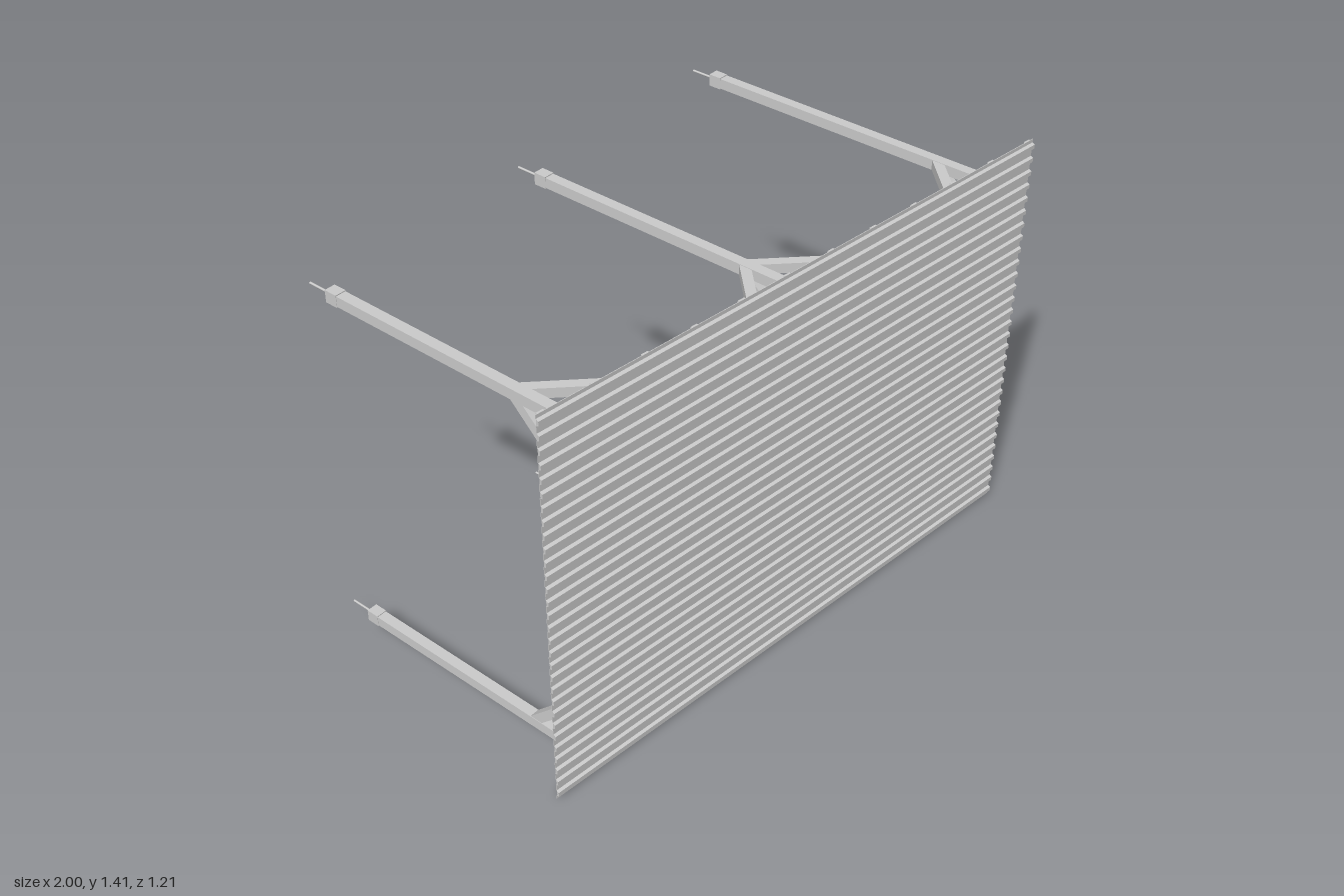
import * as THREE from 'three';

const SLOPE = 0.105;                       // the panel swings forward towards +x
const HEIGHT = 1.41;
const LENGTH = 2 * Math.hypot(1, SLOPE);
const BAR = 0.035;
const LEVELS = [0.105, 1.32];              // heights of the two rows of arms
const faceZ = (x) => 0.5 + SLOPE * x;      // front face of the panel

const material = new THREE.MeshStandardMaterial({ color: 0xcccccc });

function add(parent, name, geometry, x = 0, y = 0, z = 0) {
  const mesh = new THREE.Mesh(geometry, material);
  mesh.name = name;
  mesh.position.set(x, y, z);
  parent.add(mesh);
  return mesh;
}

// Square bar between two points
function bar(parent, name, a, b, size = BAR) {
  const from = new THREE.Vector3(...a), to = new THREE.Vector3(...b);
  const mesh = add(parent, name, new THREE.BoxGeometry(size, size, from.distanceTo(to)));
  mesh.position.copy(from).add(to).multiplyScalar(0.5);
  mesh.lookAt(to);
  return mesh;
}

// Corrugated sheet: one folded profile extruded along the panel
function sheetGeometry() {
  const ribs = 30, pitch = HEIGHT / ribs, depth = 0.009, thick = 0.002;
  const line = [[depth, 0]];
  for (let i = 0; i < ribs; i++) {
    const y = i * pitch;
    line.push([depth, y + 0.25 * pitch], [0, y + 0.35 * pitch], [0, y + 0.65 * pitch], [depth, y + 0.75 * pitch]);
  }
  line.push([depth, HEIGHT]);
  const back = line.map(([d, y]) => [d + thick, y]).reverse();
  const shape = new THREE.Shape([...line, ...back].map(([d, y]) => new THREE.Vector2(d, y)));
  return new THREE.ExtrudeGeometry(shape, { depth: LENGTH, bevelEnabled: false })
    .rotateY(Math.PI / 2).translate(-LENGTH / 2, 0, 0);
}

// Long beam with ends chamfered towards the back
function beamGeometry() {
  const shape = new THREE.Shape([[-0.98, 0.018], [0.98, 0.018], [0.905, 0.047], [-0.905, 0.047]]
    .map(([x, d]) => new THREE.Vector2(x, d)));
  return new THREE.ExtrudeGeometry(shape, { depth: BAR, bevelEnabled: false })
    .rotateX(-Math.PI / 2).translate(0, -BAR / 2, 0);
}

function createPanel() {
  const panel = new THREE.Group();
  panel.name = 'panel';
  add(panel, 'corrugatedSheet', sheetGeometry());

  // Vertical battens behind the sheet
  const battens = 12, batten = new THREE.BoxGeometry(0.024, HEIGHT - 0.006, 0.009);
  for (let i = 0; i < battens; i++) {
    add(panel, 'batten', batten, -0.985 + (1.97 * i) / (battens - 1), HEIGHT / 2, -0.0145);
  }
  // Horizontal rails and the two main beams
  const rail = new THREE.BoxGeometry(1.96, 0.018, 0.015);
  for (let i = 0; i < 4; i++) add(panel, 'rail', rail, 0, 0.35 + 0.24 * i, -0.0255);
  const beam = beamGeometry();
  for (const y of LEVELS) {
    // extruded depth runs backwards after the turn
    add(panel, 'beam', beam, 0, y, 0);
  }
  panel.position.z = 0.5;
  panel.rotation.y = -Math.atan(SLOPE);
  return panel;
}

// Upright with an upper and a lower arm, braced both ways
function createFrame(x, sides) {
  const frame = new THREE.Group();
  frame.name = 'supportFrame';
  const face = faceZ(x), postZ = face - 0.058, reach = 0.16;
  const [low, high] = LEVELS;
  add(frame, 'upright', new THREE.BoxGeometry(BAR, high - low + BAR, BAR), x, (low + high) / 2, postZ);

  for (const y of LEVELS) {
    const inward = y === low ? 1 : -1;
    bar(frame, 'arm', [x, y, face - 0.041], [x, y, -0.485]);
    add(frame, 'armEnd', new THREE.BoxGeometry(BAR + 0.002, 0.041, 0.045), x, y, -0.5);
    const rod = new THREE.CylinderGeometry(0.004, 0.004, 0.09, 8).rotateX(Math.PI / 2);
    add(frame, 'anchorRod', rod, x, y, -0.562);
    bar(frame, 'verticalBrace', [x, y + inward * reach, postZ], [x, y, postZ - reach], 0.032);
    // Level braces run at 45 degrees from the arm to the beam
    for (const s of sides) {
      const t = 0.182 / (1 - SLOPE * s), z = face - 0.217;
      bar(frame, 'levelBrace', [x, y, z], [x + s * t, y, z + t], 0.032);
    }
  }
  return frame;
}

export function createModel() {
  const model = new THREE.Group();
  model.name = 'bracedPanel';
  model.add(createPanel());
  model.add(createFrame(-0.875, [1]), createFrame(-0.028, [-1, 1]), createFrame(0.822, [-1]));
  return model;
}
